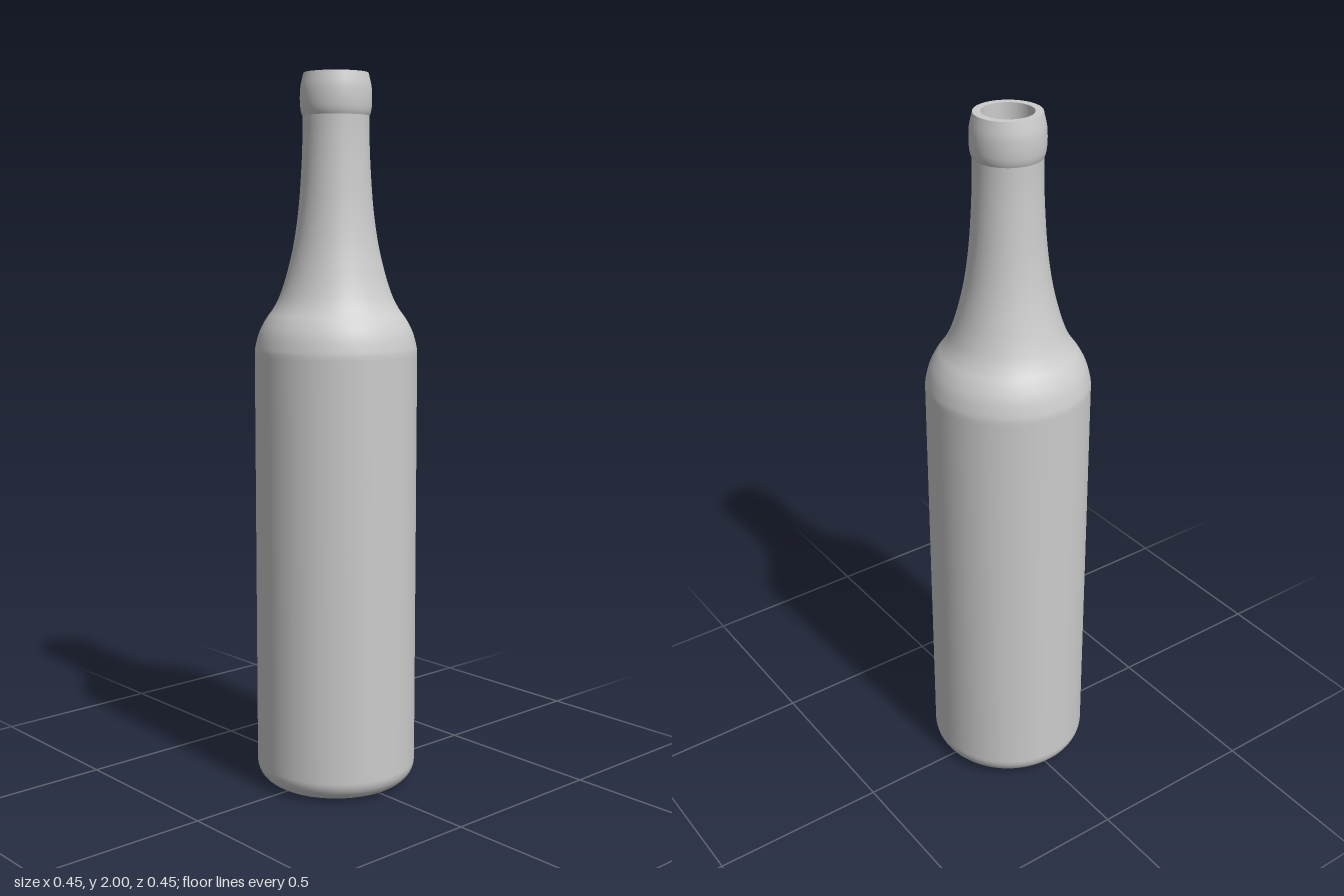
import * as THREE from 'three';

const glass = new THREE.MeshStandardMaterial({ color: 0xcccccc });
glass.name = 'pale grey glass';

const SEGMENTS = 96;

// Smooth curve through a few [radius, height] points
function curve(points, divisions) {
  return new THREE.SplineCurve(points.map(([r, y]) => new THREE.Vector2(r, y))).getPoints(divisions);
}

function straight(...points) {
  return points.map(([r, y]) => new THREE.Vector2(r, y));
}

// Quarter round from the flat base up into the wall
function fillet(radius, size, y) {
  const points = [];
  for (let i = 0; i <= 10; i++) {
    const a = (i / 10) * Math.PI / 2;
    points.push(new THREE.Vector2(radius - size + size * Math.sin(a), y + size - size * Math.cos(a)));
  }
  return points;
}

export function createModel() {
  const group = new THREE.Group();
  group.name = 'bottle';

  const turn = (name, profile) => {
    const mesh = new THREE.Mesh(new THREE.LatheGeometry(profile, SEGMENTS), glass);
    mesh.name = name;
    group.add(mesh);
  };

  // Outside, from the base to the lip
  turn('base', straight([0, 0], [0.168, 0]));
  turn('body', [...fillet(0.227, 0.06, 0), ...straight([0.227, 0.65], [0.227, 1.235])]);
  turn('shoulderAndNeck', curve([
    [0.227, 1.235], [0.225, 1.255], [0.214, 1.295], [0.196, 1.33], [0.175, 1.36], [0.157, 1.395],
    [0.137, 1.455], [0.117, 1.54], [0.103, 1.64], [0.095, 1.75], [0.092, 1.83], [0.092, 1.885],
  ], 60));
  turn('lip', curve([
    [0.092, 1.885], [0.0955, 1.895], [0.098, 1.91], [0.099, 1.935], [0.097, 1.965], [0.089, 2],
  ], 24));
  turn('rim', straight([0.089, 2], [0.068, 2]));

  // Inside, from the mouth down to the floor
  turn('innerNeck', straight([0.068, 2], [0.068, 1.8]));
  turn('innerShoulder', curve([
    [0.068, 1.8], [0.08, 1.64], [0.094, 1.54], [0.114, 1.455], [0.134, 1.39], [0.172, 1.33], [0.203, 1.235],
  ], 32));
  turn('innerWall', [...straight([0.203, 1.235]), ...fillet(0.203, 0.05, 0.03).reverse()]);
  turn('innerFloor', straight([0.153, 0.03], [0, 0.03]));

  return group;
}
